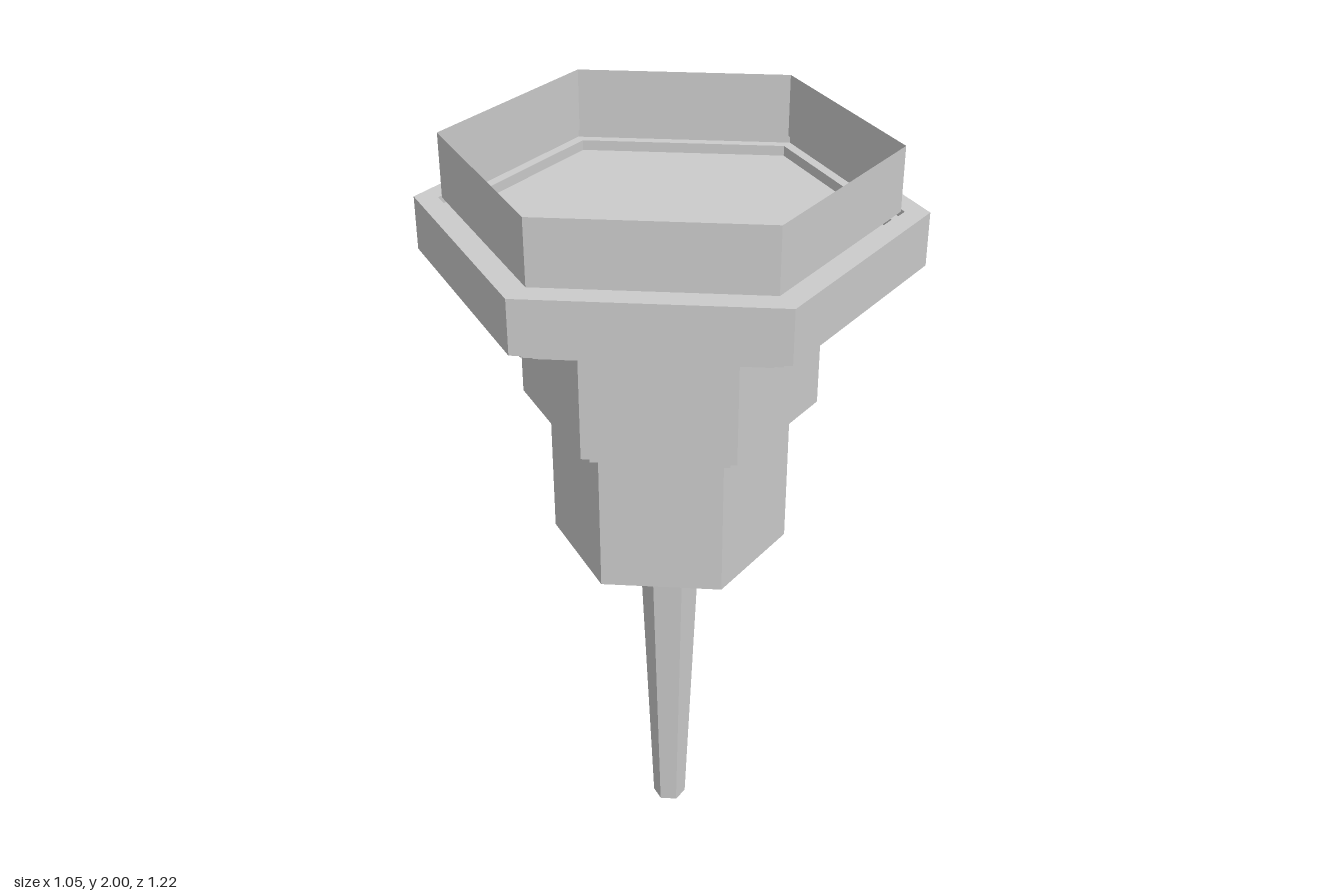
import * as THREE from 'three';

const material = new THREE.MeshStandardMaterial({ color: 0xcccccc, flatShading: true });
const thinMaterial = new THREE.MeshStandardMaterial({ color: 0xcccccc, flatShading: true, side: THREE.DoubleSide });

export function createModel() {
  const model = new THREE.Group();

  // Six-sided solid between two heights, corners pointing along z
  function hexPrism(name, y0, y1, rBottom, rTop = rBottom) {
    const geometry = new THREE.CylinderGeometry(rTop, rBottom, y1 - y0, 6);
    const mesh = new THREE.Mesh(geometry, material);
    mesh.position.y = (y0 + y1) / 2;
    mesh.name = name;
    model.add(mesh);
  }

  // Tapered ground spike and its two small collars
  hexPrism('spike', 0, 0.884, 0.045, 0.08);
  hexPrism('spikeLowerCollar', 0.884, 0.901, 0.104);
  hexPrism('spikeUpperCollar', 0.901, 0.923, 0.125);

  // Stepped body
  hexPrism('lowerBody', 0.923, 1.3, 0.303);
  hexPrism('bodyStep', 1.3, 1.326, 0.336);
  hexPrism('upperBody', 1.326, 1.663, 0.37);

  // Steps under the flange
  hexPrism('flangeLowerStep', 1.663, 1.684, 0.529);
  hexPrism('flangeUpperStep', 1.684, 1.706, 0.569);

  // Wide flange with a stepped recess in its top
  const flangeProfile = [
    [0, 1.706], [0.608, 1.706], [0.608, 1.84], [0.549, 1.84],
    [0.549, 1.819], [0.52, 1.819], [0.52, 1.793], [0, 1.793],
  ].map(([r, y]) => new THREE.Vector2(r, y));
  const flange = new THREE.Mesh(new THREE.LatheGeometry(flangeProfile, 6), material);
  flange.name = 'flange';
  model.add(flange);

  // Thin open rim standing in the recess
  const rim = new THREE.Mesh(new THREE.CylinderGeometry(0.54, 0.54, 0.16, 6, 1, true), thinMaterial);
  rim.position.y = 1.92;
  rim.name = 'rim';
  model.add(rim);

  return model;
}
